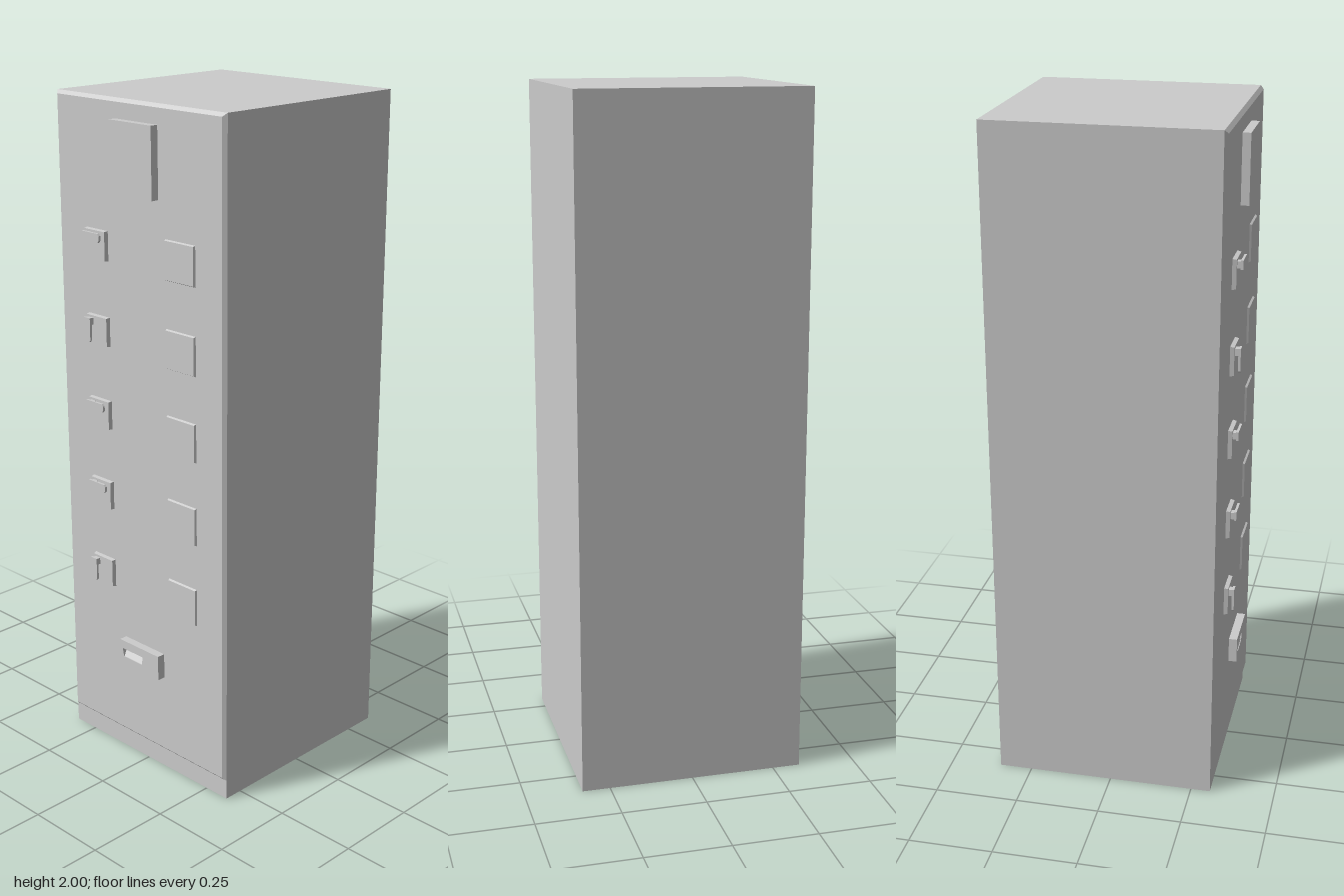
import * as THREE from 'three';

const material = new THREE.MeshStandardMaterial({ color: 0xcccccc, flatShading: true, side: THREE.DoubleSide });
const FACE = 0.318; // z of the door's front surface

function addMesh(parent, name, geometry, x = 0, y = 0, z = 0) {
  const mesh = new THREE.Mesh(geometry, material);
  mesh.name = name;
  mesh.position.set(x, y, z);
  parent.add(mesh);
  return mesh;
}

// Box without the listed sides (0 +x, 1 -x, 2 +y, 3 -y, 4 +z, 5 -z)
function openBox(w, h, d, missing) {
  const geometry = new THREE.BoxGeometry(w, h, d);
  geometry.setIndex([...geometry.index.array].filter((_, i) => !missing.includes(Math.floor(i / 6))));
  return geometry;
}

// Open-backed plate rising from z = 0, its front edges drawn in by inset
function bevelPlate(w, h, d, inset) {
  const geometry = openBox(w, h, d, [5]);
  geometry.translate(0, 0, d / 2);
  const p = geometry.attributes.position;
  for (let i = 0; i < p.count; i++) {
    if (p.getZ(i) > d / 2) {
      p.setX(i, p.getX(i) - Math.sign(p.getX(i)) * inset);
      p.setY(i, p.getY(i) - Math.sign(p.getY(i)) * inset);
    }
  }
  geometry.computeVertexNormals();
  return geometry;
}

// Backing block with a small turn handle, either level or hanging down
function createLatch(y, hanging) {
  const latch = new THREE.Group();
  latch.name = 'latch';
  latch.position.set(-0.167, y, FACE);
  addMesh(latch, 'latchBlock', bevelPlate(0.087, 0.087, 0.012, 0.002));

  const handle = new THREE.Group();
  handle.name = 'turnHandle';
  handle.position.set(-0.023, 0.025, 0.012);
  handle.rotation.z = hanging ? -Math.PI / 2 : 0;
  addMesh(handle, 'handleNeck', new THREE.BoxGeometry(0.02, 0.02, 0.01), 0, 0, 0.005);
  const bar = new THREE.Shape([
    [-0.012, -0.013], [0.054, -0.013], [0.06, -0.007], [0.06, 0.007], [0.054, 0.013], [-0.012, 0.013],
  ].map(([x, v]) => new THREE.Vector2(x, v)));
  addMesh(handle, 'handleBar', new THREE.ExtrudeGeometry(bar, { depth: 0.007, bevelEnabled: false }), 0, 0, 0.01);
  latch.add(handle);
  return latch;
}

// Low wide block with a scooped finger recess beside a solid end piece
function createPull() {
  const pull = new THREE.Group();
  pull.name = 'recessedPull';
  pull.position.set(0, 0.349, FACE);
  addMesh(pull, 'pullEnd', new THREE.BoxGeometry(0.056, 0.077, 0.025), 0.055, 0, 0.0125);

  const points = (list) => list.map(([x, y]) => new THREE.Vector2(x, y));
  const face = new THREE.Shape(points([[-0.083, -0.0385], [0.027, -0.0385], [0.027, 0.0385], [-0.083, 0.0385]]));
  face.holes.push(new THREE.Path(points([[-0.072, 0.012], [0.016, 0.012], [0.011, -0.014], [-0.067, -0.014]])));
  addMesh(pull, 'pullFrame', new THREE.ExtrudeGeometry(face, { depth: 0.025, bevelEnabled: false }));

  // Sloping floor of the recess, deepest at its upper edge
  const scoop = new THREE.PlaneGeometry(0.088, 0.026);
  const p = scoop.attributes.position;
  for (let i = 0; i < p.count; i++) {
    const top = p.getY(i) > 0;
    p.setXYZ(i, Math.sign(p.getX(i)) * (top ? 0.044 : 0.039) - 0.028, top ? 0.012 : -0.014, top ? 0.006 : 0.023);
  }
  scoop.computeVertexNormals();
  addMesh(pull, 'recessFloor', scoop);
  return pull;
}

export function createModel() {
  const model = new THREE.Group();
  model.name = 'lockerCabinet';

  // Hollow case, open underneath and closed in front by the door and plinth
  addMesh(model, 'case', openBox(0.664, 2, 0.656, [3, 4]), 0, 1, -0.02);
  addMesh(model, 'plinth', new THREE.PlaneGeometry(0.664, 0.06), 0, 0.03, 0.308);
  addMesh(model, 'door', bevelPlate(0.664, 1.94, 0.01, 0.01), 0, 1.03, 0.308);

  addMesh(model, 'topPlate', new THREE.BoxGeometry(0.166, 0.2, 0.024), 0, 1.845, FACE + 0.012);

  // Five rows of latch and label plate
  [false, true, false, false, true].forEach((hanging, row) => {
    const y = 1.586 - row * 0.25;
    model.add(createLatch(y, hanging));
    addMesh(model, 'labelPlate', bevelPlate(0.114, 0.114, 0.006, 0.003), 0.166, y, FACE);
  });

  model.add(createPull());
  return model;
}
